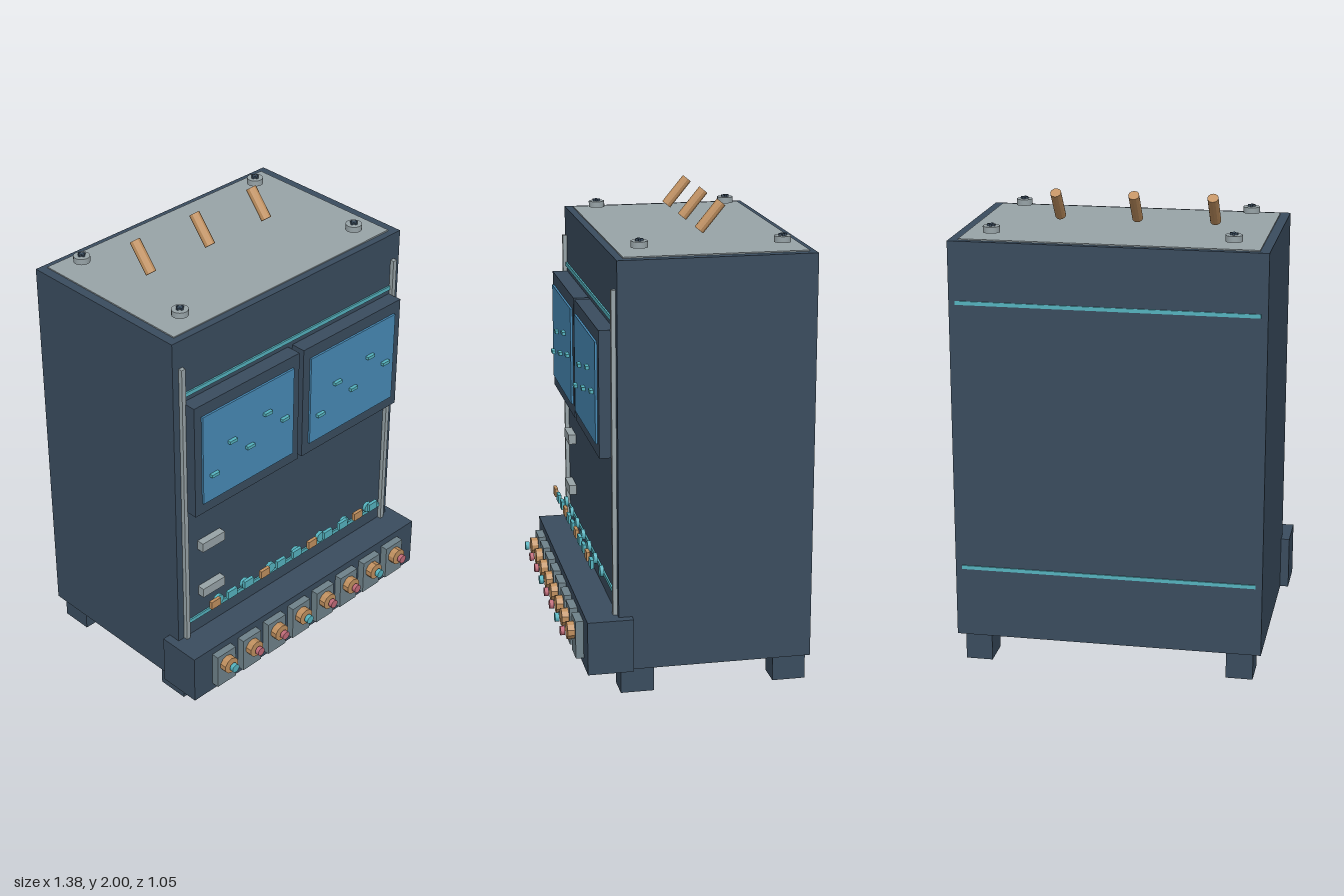
import * as THREE from 'three';

const mat = (name, color, flatShading = false) => {
  const m = new THREE.MeshStandardMaterial({ color });
  m.name = name;
  m.flatShading = flatShading;
  return m;
};

export function createModel() {
  const navy = mat('navyPaint', 0x3a4c5e);
  const grey = mat('lightGreyMetal', 0x98a4a8);
  const slate = mat('slatePanel', 0x6f828a);
  const teal = mat('teal', 0x55b3bf);
  const blue = mat('screenBlue', 0x478ab6);
  const copper = mat('copper', 0xc0905f, true);
  const pink = mat('pink', 0xc06a78);

  const model = new THREE.Group();
  model.name = 'controlCabinet';

  // Box given by its lower and upper limits on each axis
  const box = (name, m, x0, x1, y0, y1, z0, z1, parent = model) => {
    const mesh = new THREE.Mesh(new THREE.BoxGeometry(x1 - x0, y1 - y0, z1 - z0), m);
    mesh.position.set((x0 + x1) / 2, (y0 + y1) / 2, (z0 + z1) / 2);
    mesh.name = name;
    parent.add(mesh);
    return mesh;
  };
  const cyl = (name, m, r, length, sides, x, y, z, tilt = 0, parent = model) => {
    const mesh = new THREE.Mesh(new THREE.CylinderGeometry(r, r, length, sides), m);
    mesh.position.set(x, y, z);
    mesh.rotation.x = tilt;
    mesh.name = name;
    parent.add(mesh);
    return mesh;
  };
  const group = (name) => {
    const g = new THREE.Group();
    g.name = name;
    model.add(g);
    return g;
  };

  // Cabinet, lid plate and front console
  box('cabinet', navy, -0.653, 0.653, 0.117, 1.833, -0.518, 0.298);
  box('topPlate', grey, -0.613, 0.613, 1.82, 1.838, -0.492, 0.266);
  box('console', navy, -0.69, 0.69, 0.122, 0.35, 0.242, 0.434);

  // Feet
  const feet = group('feet');
  for (const x of [-0.562, 0.562])
    for (const z of [0.215, -0.436])
      box('foot', navy, x - 0.057, x + 0.057, 0, 0.12, z - 0.07, z + 0.07, feet);

  // Vertical rails
  for (const s of [-1, 1]) box('rail', grey, s * 0.611 - 0.01, s * 0.611 + 0.01, 0.34, 1.71, 0.296, 0.316);

  // Horizontal trim, front and back
  for (const y of [0.425, 1.578]) {
    box('frontStripe', teal, -0.6, 0.6, y - 0.009, y + 0.009, 0.297, 0.305);
    box('backStripe', teal, -0.625, 0.625, y - 0.008, y + 0.008, -0.523, -0.517);
  }

  // Two monitors with signal marks
  const marks = [[-0.2, -0.085], [-0.1, 0.03], [0, -0.045], [0.1, 0.07], [0.2, -0.005]];
  for (const cx of [-0.309, 0.306]) {
    const monitor = group('monitor');
    box('monitorFrame', navy, cx - 0.295, cx + 0.295, 1.018, 1.546, 0.296, 0.364, monitor);
    box('screen', blue, cx - 0.257, cx + 0.257, 1.07, 1.492, 0.364, 0.373, monitor);
    for (const [dx, dy] of marks)
      box('signalMark', teal, cx + dx - 0.021, cx + dx + 0.021, 1.274 + dy, 1.288 + dy, 0.372, 0.388, monitor);
  }

  // Label plates
  for (const y of [0.803, 0.562]) box('labelPlate', grey, -0.535, -0.409, y - 0.022, y + 0.022, 0.296, 0.331);

  // Row of square buttons
  const buttons = group('buttons');
  for (let i = 0; i < 11; i++) {
    const x = -0.514 + i * 0.098;
    box('button', i % 3 ? teal : copper, x - 0.026, x + 0.026, 0.508, 0.546, 0.371, 0.386, buttons);
  }

  // Row of round indicator lamps
  const lamps = group('lamps');
  for (let i = 0; i < 7; i++)
    cyl('lamp', teal, 0.025, 0.016, 8, -0.457 + i * 0.156, 0.493, 0.339, Math.PI / 2, lamps);

  // Console dials
  for (let i = 0; i < 8; i++) {
    const x = -0.532 + i * 0.152;
    const dial = group('dial');
    box('dialPlate', slate, x - 0.053, x + 0.053, 0.155, 0.318, 0.43, 0.467, dial);
    cyl('dialKnob', copper, 0.038, 0.031, 10, x, 0.263, 0.4815, Math.PI / 2, dial);
    cyl('dialCap', i % 3 ? pink : teal, 0.02, 0.018, 10, x, 0.263, 0.5145, Math.PI / 2, dial);
  }

  // Lid screws with cross heads
  for (const x of [-0.498, 0.494])
    for (const z of [-0.41, 0.178]) {
      const screw = group('screw');
      cyl('screwHead', grey, 0.035, 0.026, 16, x, 1.866, z, 0, screw);
      box('crossSlot', navy, x - 0.016, x + 0.016, 1.877, 1.888, z - 0.005, z + 0.005, screw);
      box('crossSlot', navy, x - 0.005, x + 0.005, 1.877, 1.888, z - 0.016, z + 0.016, screw);
    }

  // Slanted copper rods
  for (const x of [-0.384, -0.057, 0.27]) cyl('rod', copper, 0.023, 0.146, 12, x, 1.928, -0.162, -0.69);

  return model;
}
